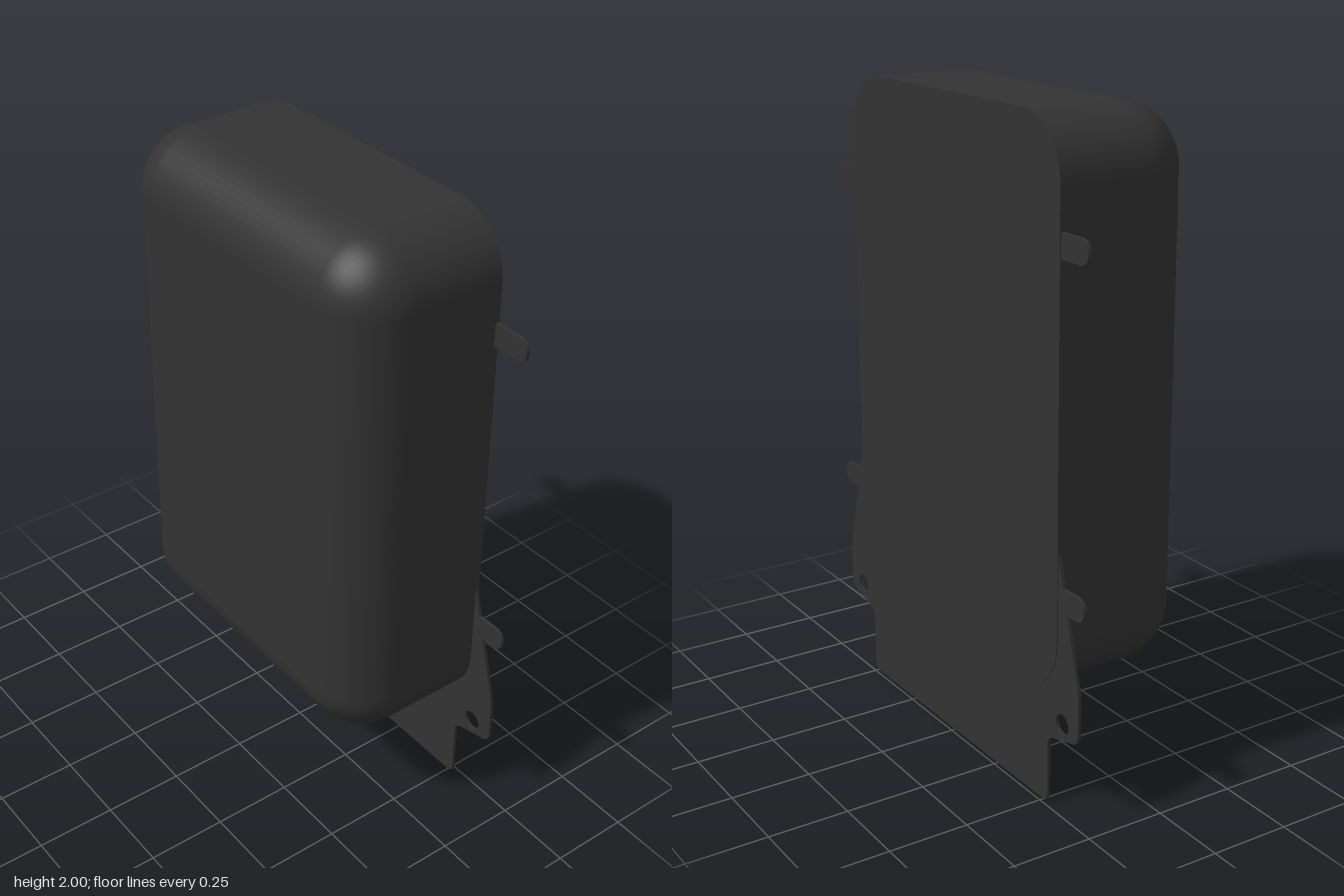
import * as THREE from 'three';

const charcoal = new THREE.MeshStandardMaterial({ color: 0x333333 });
charcoal.name = 'charcoal';

const BACK = -0.24, FRONT = 0.24;
const PLATE_Z = -0.237, PLATE_T = 0.01;

// Closed shape from [x, y, cornerRadius] points
function roundedShape(points) {
  const shape = new THREE.Shape();
  const n = points.length;
  points.forEach(([x, y, r], i) => {
    const p = new THREE.Vector2(x, y);
    const toward = (q) => new THREE.Vector2(q[0], q[1]).sub(p).setLength(r).add(p);
    const a = toward(points[(i + n - 1) % n]);
    const b = toward(points[(i + 1) % n]);
    if (i === 0) shape.moveTo(a.x, a.y);
    else shape.lineTo(a.x, a.y);
    shape.quadraticCurveTo(x, y, b.x, b.y);
  });
  shape.closePath();
  return shape;
}

function sheet(shape, name) {
  const geo = new THREE.ExtrudeGeometry(shape, { depth: PLATE_T, bevelEnabled: false, curveSegments: 12 });
  geo.translate(0, 0, PLATE_Z);
  const mesh = new THREE.Mesh(geo, charcoal);
  mesh.name = name;
  return mesh;
}

// Housing: rounded-rectangle loops, straight sides, then a quarter-round front edge
function housingGeometry(halfW, y0, y1, r, seg) {
  const cx = halfW - r, cy = (y1 - y0) / 2 - r, midY = (y0 + y1) / 2;
  const pos = [], nor = [], idx = [];
  const ringSize = 4 * (seg + 1);
  const addRing = (rho, z, phi, flat) => {
    for (let c = 0; c < 4; c++) {
      const sx = c === 0 || c === 3 ? 1 : -1, sy = c < 2 ? 1 : -1;
      for (let i = 0; i <= seg; i++) {
        const a = (c + i / seg) * Math.PI / 2;
        pos.push(sx * cx + rho * Math.cos(a), midY + sy * cy + rho * Math.sin(a), z);
        if (flat) nor.push(0, 0, -1);
        else nor.push(Math.cos(a) * Math.cos(phi), Math.sin(a) * Math.cos(phi), Math.sin(phi));
      }
    }
  };
  addRing(r, BACK, 0);
  for (let k = 0; k <= seg; k++) {
    const phi = k / seg * Math.PI / 2;
    addRing(r * Math.cos(phi), FRONT - r + r * Math.sin(phi), phi);
  }
  for (let k = 0; k <= seg; k++) {
    for (let i = 0; i < ringSize; i++) {
      const j = (i + 1) % ringSize;
      const a = k * ringSize + i, b = k * ringSize + j;
      idx.push(a, b, b + ringSize, a, b + ringSize, a + ringSize);
    }
  }
  // front face
  const f = (seg + 1) * ringSize, s = seg + 1;
  idx.push(f, f + s, f + 2 * s, f, f + 2 * s, f + 3 * s);
  // back face
  const b0 = pos.length / 3;
  addRing(r, BACK, 0, true);
  for (let i = 1; i < ringSize - 1; i++) idx.push(b0, b0 + i + 1, b0 + i);

  const geo = new THREE.BufferGeometry();
  geo.setAttribute('position', new THREE.Float32BufferAttribute(pos, 3));
  geo.setAttribute('normal', new THREE.Float32BufferAttribute(nor, 3));
  geo.setIndex(idx);
  return geo;
}

export function createModel() {
  const model = new THREE.Group();
  model.name = 'housingWithMount';

  const housing = new THREE.Mesh(housingGeometry(0.568, 0.34, 2, 0.185, 14), charcoal);
  housing.name = 'housing';
  model.add(housing);

  // Mounting plate with flared ears and a lower tongue
  const half = [
    [0.52, 0, 0.03], [0.52, 0.214, 0.03], [0.672, 0.252, 0.03], [0.672, 0.4, 0.03], [0.55, 0.86, 0.02],
  ];
  const mirrored = half.map(([x, y, r]) => [-x, y, r]).reverse();
  const plateShape = roundedShape([...half, ...mirrored]);
  for (const side of [-1, 1]) {
    const hole = new THREE.Path();
    hole.absarc(side * 0.593, 0.283, 0.031, 0, Math.PI * 2, true);
    plateShape.holes.push(hole);
  }
  model.add(sheet(plateShape, 'mountingPlate'));

  // Round-ended side tabs
  for (const side of [-1, 1]) {
    for (const [y, level] of [[1.661, 'upper'], [0.663, 'lower']]) {
      const r = 0.036;
      const tab = new THREE.Shape();
      tab.absarc(0.693 - r, y, r, -Math.PI / 2, Math.PI / 2, false);
      tab.absarc(0.54 + r, y, r, Math.PI / 2, Math.PI * 1.5, false);
      const mesh = sheet(tab, level + (side > 0 ? 'Left' : 'Right') + 'Tab');
      if (side < 0) mesh.geometry.translate(-(0.693 + 0.54), 0, 0);
      model.add(mesh);
    }
  }
  return model;
}
